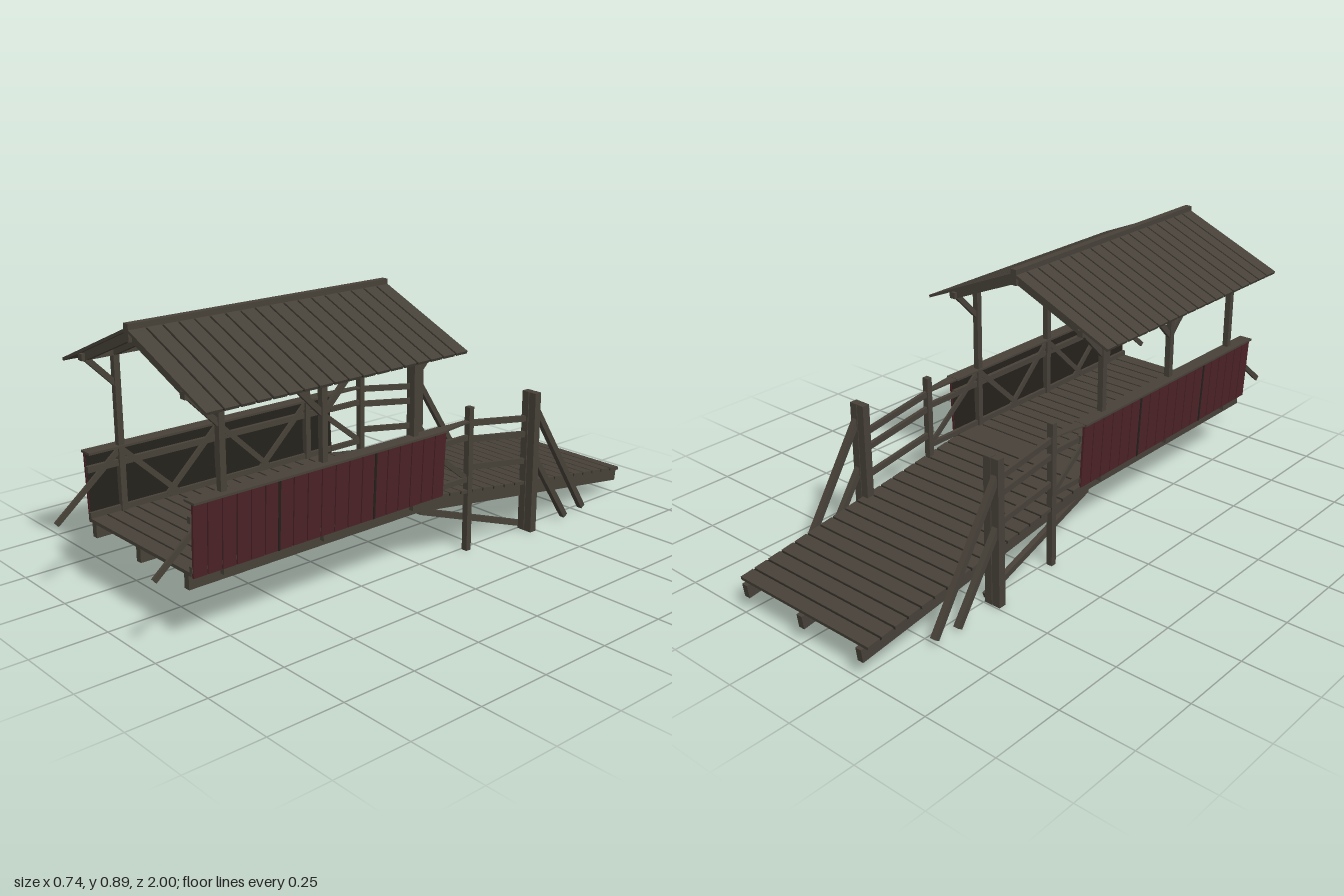
import * as THREE from 'three';

export function createModel() {
  const root = new THREE.Group();
  const mat = (name, color) => {
    const m = new THREE.MeshStandardMaterial({ color });
    m.name = name;
    return m;
  };
  const wood = mat('weathered wood', 0x474138);
  const red = mat('red paint', 0x4c2226);
  const dark = mat('dark gap', 0x24211c);

  // Axis-aligned box from its limits
  const box = (name, m, x0, x1, y0, y1, z0, z1, parent = root) => {
    const mesh = new THREE.Mesh(new THREE.BoxGeometry(x1 - x0, y1 - y0, z1 - z0), m);
    mesh.position.set((x0 + x1) / 2, (y0 + y1) / 2, (z0 + z1) / 2);
    mesh.name = name;
    parent.add(mesh);
    return mesh;
  };
  // Timber between two points: w is the horizontal thickness, h the depth
  const beam = (name, a, b, w, h, m = wood) => {
    const p = new THREE.Vector3(...a), q = new THREE.Vector3(...b);
    const mesh = new THREE.Mesh(new THREE.BoxGeometry(w, h, p.distanceTo(q)), m);
    mesh.position.copy(p).add(q).multiplyScalar(0.5);
    mesh.lookAt(q);
    mesh.name = name;
    root.add(mesh);
  };
  // Row of boards along z with recessed dark gaps, top surface at y = 0
  const boards = (name, m, x0, x1, thick, z0, z1, count) => {
    const g = new THREE.Group();
    g.name = name;
    const step = (z1 - z0) / count, gap = 0.007;
    for (let i = 0; i < count; i++) {
      const z = z0 + i * step, end = i === count - 1;
      box('board', m, x0, x1, -thick, 0, z, z + step - (end ? 0 : gap), g);
      if (!end) box('gap', dark, x0 + 0.002, x1 - 0.002, -thick + 0.002, -0.003, z + step - gap, z + step, g);
    }
    root.add(g);
    return g;
  };

  // Level deck and sloping ramp
  const slope = 0.134;
  boards('deck', wood, -0.272, 0.272, 0.011, 0, 0.885, 17).position.y = 0.24;
  const ramp = boards('rampDeck', wood, -0.275, 0.275, 0.011, -0.997, 0, 19);
  ramp.position.y = 0.24;
  ramp.rotation.x = -Math.atan(slope);
  for (const x of [-0.246, 0, 0.246]) {
    box('deckBeam', wood, x - 0.011, x + 0.011, 0.185, 0.229, 0, 0.885);
    beam('rampBeam', [x, 0.207, 0.003], [x, 0.073, -0.995], 0.022, 0.045);
  }

  // Ridge beam
  box('ridgeBeam', wood, -0.012, 0.012, 0.838, 0.89, -0.073, 0.885);

  const postZ = [0.77, 0.41, 0.045];
  const pitch = Math.atan2(0.157, 0.372);
  for (const s of [1, -1]) {
    const bx = (name, m, x0, x1, ...r) => box(name, m, Math.min(s * x0, s * x1), Math.max(s * x0, s * x1), ...r);
    const bm = (name, a, b, ...r) => beam(name, [s * a[0], a[1], a[2]], [s * b[0], b[1], b[2]], ...r);

    // Roof slope, rafters and wall plate
    const L = Math.hypot(0.372, 0.157);
    const roof = boards('roofSlope', wood, s > 0 ? 0 : -L, s > 0 ? L : 0, 0.009, -0.073, 0.885, 18);
    roof.position.y = 0.878;
    roof.rotation.z = -s * pitch;
    for (const z of [0.865, 0.77, 0.59, 0.41, 0.228, 0.045, -0.053])
      bm('rafter', [0.005, 0.853, z], [0.272, 0.741, z], 0.018, 0.027);
    bx('wallPlate', wood, 0.254, 0.276, 0.733, 0.754, -0.073, 0.885);

    // Roof posts, knee braces and parapet braces
    postZ.forEach((z, i) => {
      bx('roofPost', wood, 0.255, 0.275, 0.205, 0.735, z - 0.01, z + 0.01);
      for (const d of [1, -1]) {
        if (i === 1) bm('kneeBrace', [0.265, 0.595, z], [0.265, 0.735, z + d * 0.14], 0.012, 0.018);
        else if ((i === 0) === (d > 0)) bm('kneeBrace', [0.265, 0.64, z], [0.265, 0.735, z + d * 0.095], 0.012, 0.018);
        const reach = i === 1 || (i === 0) !== (d > 0) ? 0.2 : i === 0 ? 0.23 : 0.24;
        bm('parapetBrace', [0.265, 0.44, z], [0.265, 0.25, z + d * reach], 0.008, 0.018);
      }
    });

    // Leaning red parapet in three sections of boards
    const cuts = [0.885, 0.59, 0.225, -0.073], counts = [6, 7, 6];
    counts.forEach((n, k) => {
      const step = (cuts[k] - cuts[k + 1]) / n;
      for (let i = 0; i < n; i++) {
        const z = cuts[k] - (i + 0.5) * step;
        bm('parapetBoard', [0.275, 0.226, z], [0.286, 0.445, z], step - 0.004, 0.008, red);
      }
      if (k) bm('parapetJoint', [0.277, 0.226, cuts[k]], [0.288, 0.445, cuts[k]], 0.008, 0.008, dark);
    });
    bm('parapetBacking', [0.273, 0.232, 0.406], [0.283, 0.443, 0.406], 0.95, 0.004, dark);
    bx('parapetRail', wood, 0.262, 0.276, 0.385, 0.405, -0.073, 0.885);
    bx('parapetRail', wood, 0.262, 0.276, 0.24, 0.258, -0.073, 0.885);

    // Handrail plank, tapering to the first ramp post
    bx('handrail', wood, 0.25, 0.298, 0.444, 0.451, -0.073, 0.885);
    const taper = new THREE.Shape([[0.255, 0.073], [0.292, 0.073], [0.274, 0.2], [0.255, 0.2]]
      .map(([x, z]) => new THREE.Vector2(s * x, z)));
    const tip = new THREE.Mesh(new THREE.ExtrudeGeometry(taper, { depth: 0.006, bevelEnabled: false }), wood);
    tip.name = 'handrailTaper';
    tip.rotation.x = -Math.PI / 2;
    tip.position.y = 0.444;
    root.add(tip);

    // Ramp posts and rails
    bx('rampPost', wood, 0.254, 0.276, 0, 0.495, -0.21, -0.19);
    bx('endPostInner', wood, 0.252, 0.279, 0, 0.495, -0.495, -0.468);
    bx('endPostOuter', wood, 0.282, 0.31, 0, 0.495, -0.495, -0.468);
    for (const y of [0.44, 0.385, 0.29])
      bm('rampRail', [0.265, y, -0.2], [0.265, y - 0.042, -0.48], 0.012, 0.02);
    for (const y of [0.393, 0.25])
      bm('landingRail', [0.265, y, -0.06], [0.265, y, -0.2], 0.012, 0.018);

    // Ground braces
    bm('underBrace', [0.244, 0.182, 0], [0.244, 0.012, -0.485], 0.018, 0.02);
    bm('longStrut', [0.295, 0.44, -0.485], [0.295, 0.02, -0.755], 0.02, 0.02);
    bm('shortStrut', [0.295, 0.27, -0.485], [0.295, 0.01, -0.66], 0.02, 0.02);
  }
  return root;
}
